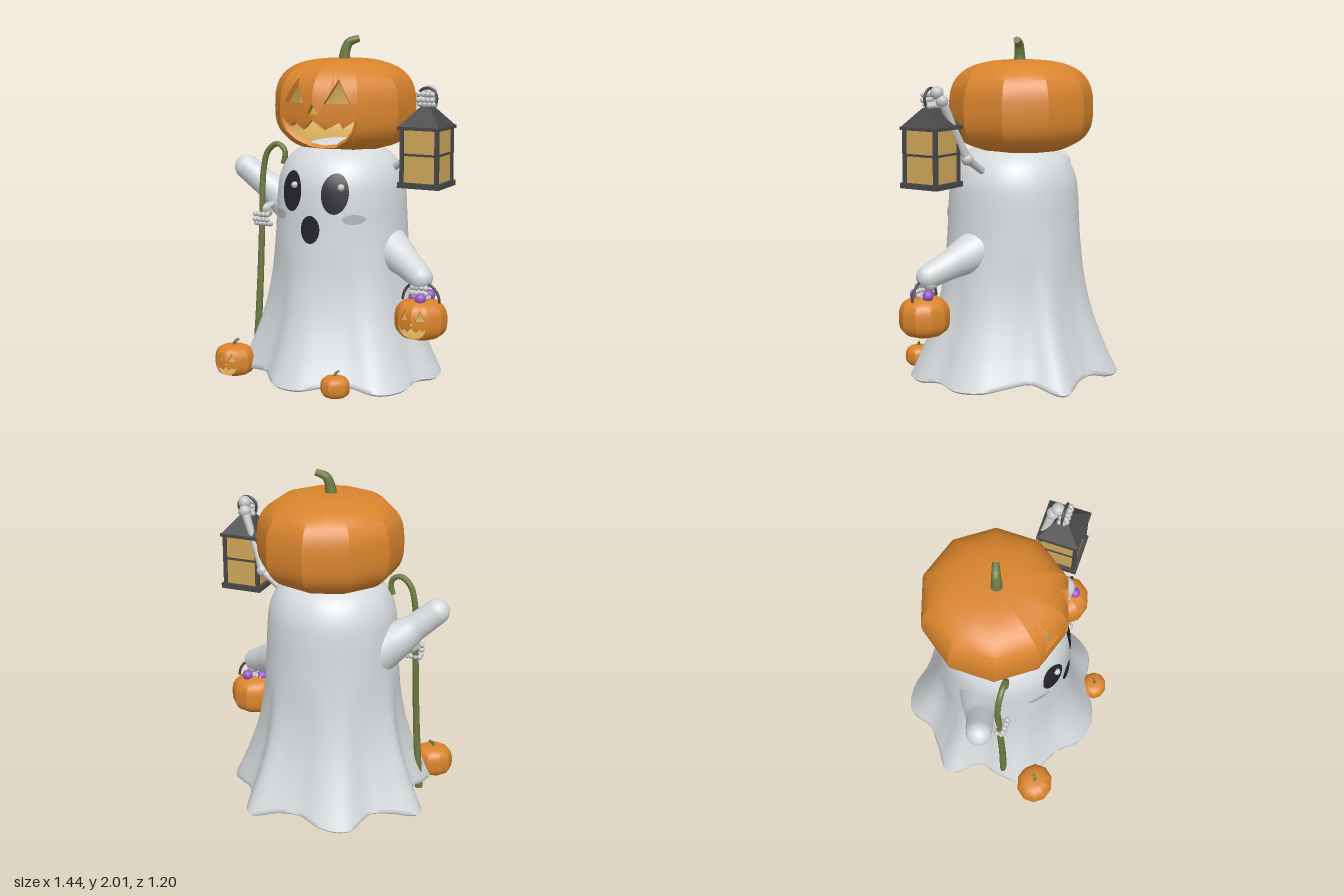
import * as THREE from 'three';
import { toCreasedNormals } from 'three/addons/utils/BufferGeometryUtils.js';

const mat = (name, color, side = THREE.FrontSide) => {
  const m = new THREE.MeshStandardMaterial({ color, side });
  m.name = name;
  return m;
};
const M = {
  orange: mat('pumpkin orange', 0xd9842d, THREE.DoubleSide),
  glow: mat('warm glow', 0xcfa659),
  cloth: mat('ghost cloth', 0xd6dadc, THREE.DoubleSide),
  bone: mat('bone', 0xc6c6c6),
  black: mat('black', 0x23232d),
  blush: mat('grey blush', 0xb0b4b7),
  green: mat('stem green', 0x6d7a42),
  iron: mat('dark iron', 0x484848),
  purple: mat('candy purple', 0x9a55c8),
};
const V = (x, y, z) => new THREE.Vector3(x, y, z);
const { lerp, clamp } = THREE.MathUtils;

function add(parent, name, geo, material, x = 0, y = 0, z = 0) {
  const m = new THREE.Mesh(geo, material);
  m.name = name;
  m.position.set(x, y, z);
  parent.add(m);
  return m;
}
const ball = (parent, name, material, p, r) =>
  add(parent, name, new THREE.SphereGeometry(r, 16, 12), material, ...p);

// Piecewise-linear lookup in [[x, y], ...]
function table(pts, x) {
  for (let i = 1; i < pts.length; i++) {
    const [a, b] = [pts[i - 1], pts[i]];
    if (x <= b[0]) return lerp(a[1], b[1], clamp((x - a[0]) / (b[0] - a[0]), 0, 1));
  }
  return pts[pts.length - 1][1];
}

// Grid surface: fn(i, j) gives the point in column i, row j
function sheet(cols, rows, fn, flip = false) {
  const pos = [], idx = [];
  for (let j = 0; j <= rows; j++) for (let i = 0; i <= cols; i++) pos.push(...fn(i, j));
  for (let j = 0; j < rows; j++) for (let i = 0; i < cols; i++) {
    const a = j * (cols + 1) + i, b = a + 1, c = b + cols + 1, d = c - 1;
    idx.push(...(flip ? [a, c, b, a, d, c] : [a, b, c, a, c, d]));
  }
  const g = new THREE.BufferGeometry();
  g.setAttribute('position', new THREE.Float32BufferAttribute(pos, 3));
  g.setIndex(idx);
  return g;
}

// Tube with varying radius and flat caps
function taperTube(points, radii, seg = 24, sides = 14) {
  const curve = new THREE.CatmullRomCurve3(points.map((p) => V(...p)));
  const g = new THREE.TubeGeometry(curve, seg, 1, sides);
  const p = g.attributes.position, v = V();
  for (let k = 0; k < p.count; k++) {
    const i = Math.floor(k / (sides + 1)), u = clamp((i - 1) / (seg - 2), 0, 1);
    const f = u * (radii.length - 1), n = Math.min(Math.floor(f), radii.length - 2);
    const r = i === 0 || i === seg ? 0 : lerp(radii[n], radii[n + 1], f - n);
    v.fromBufferAttribute(p, k).sub(curve.getPointAt(i / seg)).multiplyScalar(r).add(curve.getPointAt(u));
    p.setXYZ(k, v.x, v.y, v.z);
  }
  return toCreasedNormals(g, 0.9);
}

// ---- Pumpkins: ten flat-sided ribs with a superellipse profile ----
const POW = 2.9, UP = 0.285, DOWN = 0.25, END = Math.PI / 2;
const thetaOf = (y) => Math.sign(y) * Math.asin(Math.pow(Math.abs(y) / (y < 0 ? DOWN : UP), POW / 2));
function rib(a, th, k = 1) {
  const i = Math.floor(a), t = a - i, w = Math.PI / 5;
  const r = 0.42 * k * Math.pow(Math.max(0, Math.cos(th)), 2 / POW);
  const y = Math.sign(th) * Math.pow(Math.abs(Math.sin(th)), 2 / POW) * (th < 0 ? DOWN : UP) * k;
  return [r * lerp(Math.sin(i * w), Math.sin((i + 1) * w), t), y, r * lerp(Math.cos(i * w), Math.cos((i + 1) * w), t)];
}
// Carved face edges, as height over distance from the middle rib
const mouthTop = [[0, -0.04], [0.28, -0.1], [0.6, -0.055], [0.68, -0.09], [0.97, -0.04], [1, -0.04]];
const mouthLow = [[0, -0.22], [0.47, -0.207], [0.75, -0.165], [0.9, -0.115], [0.97, -0.04], [1, -0.04]];
const eyeLow = [[0, -0.01], [0.14, -0.01], [0.26, 0.05], [1, 0.05]];
const eyeTop = [[0, 0.05], [0.14, -0.01], [0.26, 0.05], [0.58, 0.185], [0.85, 0.05], [1, 0.05]];
const half = [0.07, 0.14, 0.2, 0.26, 0.28, 0.36, 0.47, 0.58, 0.6, 0.68, 0.75, 0.85, 0.9, 0.97, 1];
const faceCols = [...half.map((a) => -a).reverse(), 0, ...half];

function pumpkin(parent, name, [x, y, z], [sx, sy, sz], carved) {
  const g = new THREE.Group();
  g.name = name;
  g.position.set(x, y, z);
  g.scale.set(sx, sy, sz);
  parent.add(g);
  const smooth = (s) => toCreasedNormals(s, 0.5);
  const shell = (from, to, k, flip) => smooth(sheet((to - from) * 2, 22,
    (i, j) => rib(from + i / 2, -END + (j / 22) * 2 * END, k), flip));
  if (!carved) {
    add(g, 'rind', shell(0, 10, 1, false), M.orange);
    return g;
  }
  add(g, 'rind', shell(1, 9, 1, false), M.orange);
  add(g, 'glowingInside', shell(0, 10, 0.92, true), M.glow);
  const edge = (t) => (a) => thetaOf(table(t, Math.abs(a)));
  const n = faceCols.length - 1;
  // Front rind in three bands that leave the mouth, nose and eyes open
  const bands = [[() => -END, edge(mouthLow)], [edge(mouthTop), edge(eyeLow)], [edge(eyeTop), () => END]];
  for (const [lo, hi] of bands) {
    add(g, 'carvedFace', smooth(sheet(n, 10, (i, j) => {
      const a = faceCols[i];
      return rib(a, lerp(lo(a), hi(a), j / 10));
    })), M.orange);
  }
  // Cut thickness around the openings
  const cut = (t, from, to) => {
    const cols = faceCols.filter((a) => a >= from && a <= to);
    add(g, 'cutEdge', toCreasedNormals(sheet(cols.length - 1, 1,
      (i, j) => rib(cols[i], edge(t)(cols[i]), j ? 0.92 : 1)), 0.5), M.orange);
  };
  for (const t of [mouthTop, mouthLow]) cut(t, -0.97, 0.97);
  for (const t of [eyeLow, eyeTop]) [[-0.85, -0.26], [-0.14, 0.14], [0.26, 0.85]].forEach((r) => cut(t, ...r));
  return g;
}

// ---- Ghost cloth ----
const CX = -0.03, CZ = -0.01;
const hem = new THREE.CatmullRomCurve3(
  [0.61, 0.58, 0.62, 0.62, 0.55, 0.56, 0.6, 0.59, 0.53, 0.55, 0.61, 0.56, 0.52, 0.64, 0.57, 0.54, 0.62, 0.6,
    0.54, 0.56, 0.63, 0.53, 0.55, 0.6].map((r) => V(r, 0, 0)), true, 'catmullrom');
const profile = new THREE.SplineCurve([[0.575, 0.02], [0.505, 0.2], [0.445, 0.4], [0.41, 0.6], [0.395, 0.8],
  [0.386, 0.95], [0.38, 1.08], [0.365, 1.19], [0.325, 1.28], [0.27, 1.335], [0.2, 1.375], [0.11, 1.398], [0, 1.405]]
  .map((p) => new THREE.Vector2(...p))).getPoints(60);

function ghostBody(parent) {
  const rows = [...profile.slice(0, 48).reverse().map((p) => [p.x - 0.025, p.y]),
    [0.562, 0.008], ...profile.map((p) => [p.x, p.y])];
  add(parent, 'ghostCloth', toCreasedNormals(sheet(144, rows.length - 1, (i, j) => {
    const a = -(i % 144) / 144, ang = a * Math.PI * 2, [r, y] = rows[j];
    const h = hem.getPoint((a + 1) % 1).x;
    const w = Math.pow(clamp((0.85 - y) / 0.83, 0, 1), 1.3);
    const R = Math.max(0, r) + (h - 0.575) * w;
    return [CX + R * Math.cos(ang), y + (0.63 - h) * 0.55 * w * w, CZ + R * Math.sin(ang)];
  }), 1.2), M.cloth);
}
// Thin oval laid on the front of the cloth
const radiusByHeight = profile.map((p) => [p.y, p.x]);
const frontZ = (x, y) => CZ + Math.sqrt(Math.max(0, table(radiusByHeight, y) ** 2 - (x - CX) ** 2));
function oval(parent, name, material, cx, cy, rx, ry) {
  const g = new THREE.RingGeometry(0.001, 1, 36, 6), p = g.attributes.position;
  for (let i = 0; i < p.count; i++) {
    const x = cx + p.getX(i) * rx, y = cy + p.getY(i) * ry;
    p.setXYZ(i, x, y, frontZ(x, y) + 0.007);
  }
  g.computeVertexNormals();
  add(parent, name, g, material);
}
function clothArm(parent, name, pts, radii) {
  add(parent, name, taperTube(pts, radii, 28, 24), M.cloth);
  ball(parent, name + 'Tip', M.cloth, pts[pts.length - 1], radii[radii.length - 1]);
}

// ---- Bones ----
function bone(parent, name, a, b, r) {
  add(parent, name, taperTube([a, b], [r * 1.3, r, r, r * 1.3], 12, 12), M.bone);
  ball(parent, name + 'Joint', M.bone, b, r * 1.7);
}
function hand(parent, name, x, y, z) {
  const g = new THREE.Group();
  g.name = name;
  g.position.set(x, y, z);
  parent.add(g);
  ball(g, 'palm', M.bone, [0, 0.03, -0.03], 0.038);
  for (let f = 0; f < 4; f++) for (let k = 0; k < 4; k++) {
    const t = 0.5 - k * 0.75;
    ball(g, 'knuckle', M.bone, [(f - 1.5) * 0.027, Math.sin(t) * 0.042, Math.cos(t) * 0.036], 0.016);
  }
}

export function createModel() {
  const root = new THREE.Group();
  root.name = 'pumpkinHeadGhost';

  // Ghost with face
  ghostBody(root);
  clothArm(root, 'rightClothArm', [[-0.28, 0.94, -0.04], [-0.42, 1.02, -0.02], [-0.54, 1.115, 0.02], [-0.645, 1.205, 0.05]], [0.17, 0.115, 0.08, 0.075]);
  clothArm(root, 'leftClothArm', [[0.2, 0.82, 0], [0.33, 0.775, 0.05], [0.46, 0.715, 0.12], [0.56, 0.665, 0.18]], [0.17, 0.115, 0.085, 0.07]);
  for (const s of [-1, 1]) {
    oval(root, 'eye', M.black, -0.037 + s * 0.138, 1.13, 0.074, 0.115);
    oval(root, 'cheek', M.blush, -0.037 + s * 0.237, 0.985, 0.055, 0.028);
    const gx = -0.008 + s * 0.143;
    ball(root, 'eyeGlint', M.bone, [gx, 1.168, frontZ(gx, 1.168) + 0.01], 0.02);
  }
  oval(root, 'mouth', M.black, -0.037, 0.922, 0.06, 0.08);

  // Head pumpkin and the ones on the ground
  pumpkin(root, 'headPumpkin', [-0.035, 1.585, -0.06], [1, 1, 1], true);
  add(root, 'headStem', taperTube([[-0.035, 1.84, -0.05], [-0.032, 1.9, -0.05], [-0.01, 1.96, -0.06], [0.045, 1.985, -0.08]], [0.037, 0.03, 0.026, 0.02], 20, 10), M.green);
  pumpkin(root, 'carvedGroundPumpkin', [-0.555, 0.088, 0.37], [0.285, 0.345, 0.265], true);
  pumpkin(root, 'smallGroundPumpkin', [0.197, 0.07, 0.528], [0.2, 0.235, 0.188], false);
  for (const [x, y, z, s] of [[-0.555, 0.175, 0.37, 1], [0.197, 0.13, 0.528, 0.8]])
    add(root, 'groundStem', taperTube([[x, y, z], [x + 0.002, y + 0.025 * s, z], [x + 0.022 * s, y + 0.044 * s, z - 0.015]], [0.011 * s, 0.008 * s], 10, 8), M.green);

  // Crook staff held in the right hand
  add(root, 'crookStaff', taperTube([[-0.535, 0, 0.155], [-0.512, 0.45, 0.14], [-0.502, 0.9, 0.12], [-0.495, 1.2, 0.11], [-0.462, 1.32, 0.11],
    [-0.4, 1.365, 0.11], [-0.352, 1.335, 0.11], [-0.348, 1.285, 0.11], [-0.36, 1.25, 0.11]], [0.023, 0.02, 0.018, 0.017], 70, 12), M.green);
  bone(root, 'rightForearm', [-0.36, 1.06, 0.02], [-0.49, 0.97, 0.1], 0.02);
  hand(root, 'rightHand', -0.49, 0.92, 0.12);

  // Left bone arm raising the lantern
  bone(root, 'leftUpperArm', [0.24, 1.21, -0.03], [0.42, 1.33, 0.005], 0.021);
  bone(root, 'leftForearm', [0.42, 1.33, 0.005], [0.56, 1.66, 0.075], 0.021);
  hand(root, 'leftHand', 0.572, 1.675, 0.13);

  const lantern = new THREE.Group();
  lantern.name = 'lantern';
  lantern.position.set(0.573, 0, 0.14);
  root.add(lantern);
  const box = (name, m, w, h, d, x, y, z) => add(lantern, name, new THREE.BoxGeometry(w, h, d), m, x, y, z);
  box('basePlate', M.iron, 0.25, 0.03, 0.25, 0, 1.195, 0);
  box('glassPanes', M.glow, 0.206, 0.3, 0.206, 0, 1.36, 0);
  box('middleBar', M.iron, 0.216, 0.013, 0.216, 0, 1.365, 0);
  box('topPlate', M.iron, 0.25, 0.018, 0.25, 0, 1.512, 0);
  for (const x of [-0.104, 0.104]) for (const z of [-0.104, 0.104]) box('cornerPost', M.iron, 0.022, 0.3, 0.022, x, 1.36, z);
  const roof = add(lantern, 'roof', new THREE.CylinderGeometry(0.05, 0.17, 0.1, 4).toNonIndexed(), M.iron, 0, 1.57, 0);
  roof.geometry.computeVertexNormals();
  roof.rotation.y = Math.PI / 4;
  add(lantern, 'carryRing', new THREE.TorusGeometry(0.058, 0.008, 8, 32), M.iron, 0, 1.672, 0);

  // Candy bucket hanging from the left cloth arm
  pumpkin(root, 'candyBucket', [0.573, 0.428, 0.2], [0.36, 0.43, 0.34], true);
  add(root, 'bucketHandle', new THREE.TorusGeometry(0.112, 0.008, 8, 28, Math.PI), M.iron, 0.573, 0.535, 0.2);
  hand(root, 'bucketHand', 0.57, 0.595, 0.19);
  for (const p of [[0.59, 0.56, 0.25], [0.605, 0.565, 0.15], [0.53, 0.553, 0.2]]) ball(root, 'candy', M.purple, p, 0.032);

  // Legs under the cloth
  for (const x of [-0.15, 0.08]) {
    bone(root, 'thigh', [x, 0.62, 0], [x, 0.36, 0.02], 0.026);
    bone(root, 'shin', [x, 0.36, 0.02], [x, 0.11, 0], 0.024);
    ball(root, 'foot', M.bone, [x, 0.06, 0.035], 1).scale.set(0.045, 0.028, 0.08);
  }
  return root;
}
